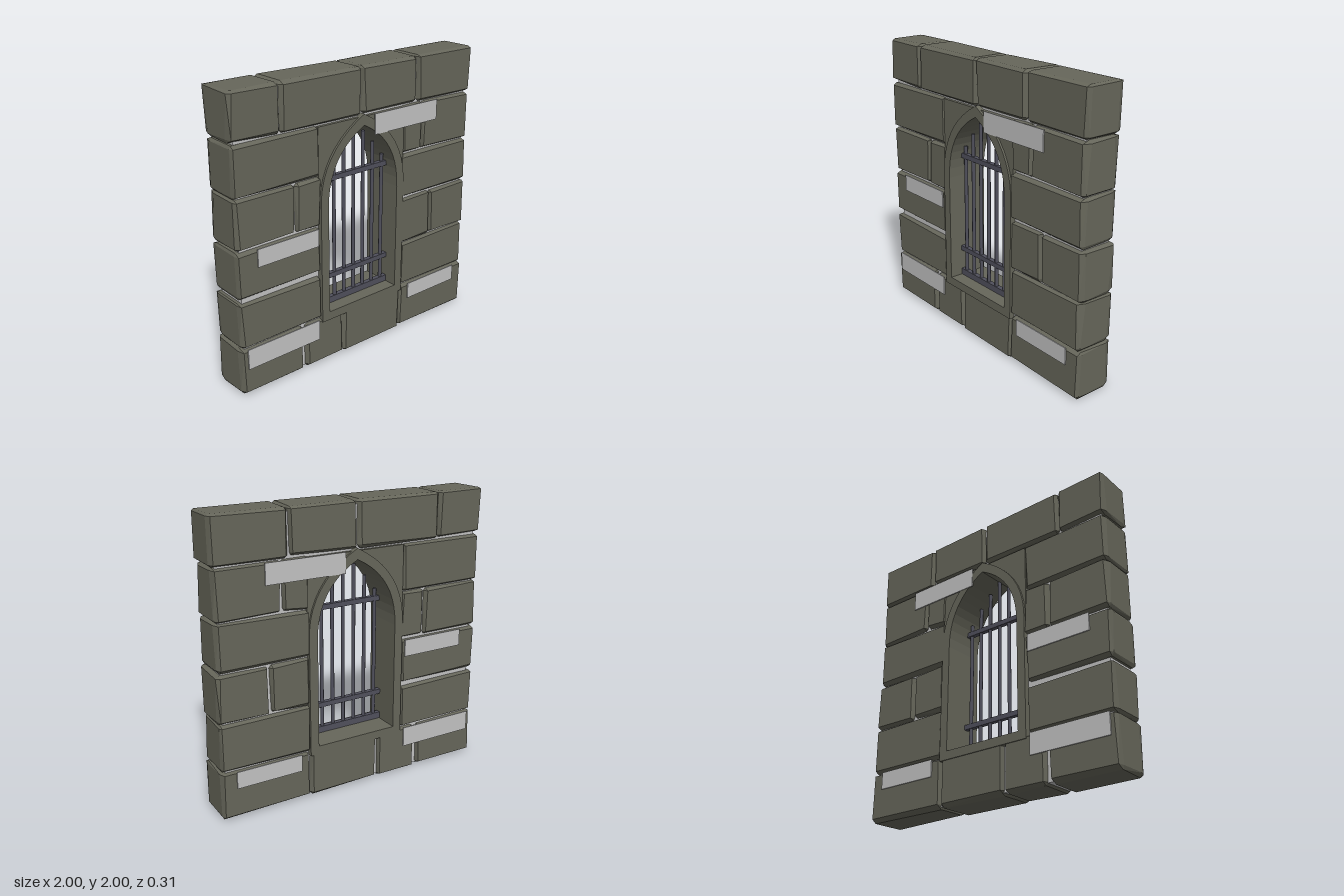
import * as THREE from 'three';
import { ConvexGeometry } from 'three/addons/geometries/ConvexGeometry.js';

// small seeded random for the hewn edges
function makeRandom(seed) {
  return () => {
    seed = (seed * 16807) % 2147483647;
    return seed / 2147483647;
  };
}

// block with unevenly chamfered edges
function hewnBlock(x0, x1, y0, y1, depth, rand) {
  const points = [];
  const cx = (x0 + x1) / 2, cy = (y0 + y1) / 2;
  const hx = (x1 - x0) / 2, hy = (y1 - y0) / 2;
  for (const sx of [-1, 1]) for (const sy of [-1, 1]) for (const sz of [-1, 1]) {
    const ix = 0.008 + 0.018 * rand();
    const iy = (sy < 0 ? 0.014 : 0.006) + 0.014 * rand();
    const iz = 0.02 + 0.035 * rand();
    const add = (dx, dy, dz) => points.push(
      new THREE.Vector3(cx + sx * (hx - dx), cy + sy * (hy - dy), sz * (depth - dz)));
    add(ix, iy, 0);
    add(0, iy, iz);
    add(ix, 0, iz);
  }
  return new ConvexGeometry(points);
}

// pointed arch outline, closed along the bottom
function archPath(path, half, bottom, bulge, shoulder, apex) {
  path.moveTo(-half, bottom);
  path.lineTo(half, bottom);
  path.lineTo(half, 1.13);
  path.quadraticCurveTo(bulge, shoulder, 0, apex);
  path.quadraticCurveTo(-bulge, shoulder, -half, 1.13);
  path.lineTo(-half, bottom);
  return path;
}

function extrudeCentred(shape, halfDepth) {
  const geo = new THREE.ExtrudeGeometry(shape, { depth: halfDepth * 2, bevelEnabled: false, curveSegments: 10 });
  return geo.translate(0, 0, -halfDepth);
}

function rectangle(x0, x1, y0, y1) {
  return new THREE.Shape([[x0, y0], [x1, y0], [x1, y1], [x0, y1]].map(p => new THREE.Vector2(...p)));
}

export function createModel() {
  const model = new THREE.Group();
  model.name = 'barredWindowWall';
  const material = (name, color, flatShading = false) => {
    const m = new THREE.MeshStandardMaterial({ color, flatShading });
    m.name = name;
    return m;
  };
  const stone = material('stone', 0x66665a, true);
  const mortar = material('mortar', 0xc2c2c2);
  const iron = material('iron', 0x50505c);

  const add = (name, geometry, mat, parent = model) => {
    const mesh = new THREE.Mesh(geometry, mat);
    mesh.name = name;
    parent.add(mesh);
    return mesh;
  };
  const group = name => {
    const g = new THREE.Group();
    g.name = name;
    model.add(g);
    return g;
  };

  // courses of stone blocks: x0, x1, y0, y1
  const blocks = [
    [-1, -0.515, 0, 0.335], [-0.49, -0.18, 0, 0.335], [-0.17, 0.36, 0, 0.33], [0.36, 1, 0, 0.335],
    [-0.995, -0.36, 0.34, 0.655], [0.35, 0.995, 0.34, 0.67],
    [-0.995, -0.36, 0.685, 1.003], [0.35, 0.635, 0.675, 1.01], [0.642, 1, 0.67, 1.005],
    [-0.995, -0.552, 1.015, 1.345], [-0.545, -0.35, 1.015, 1.345], [0.34, 0.99, 1.015, 1.335],
    [-0.995, -0.362, 1.35, 1.68], [0.35, 0.535, 1.34, 1.68], [0.54, 0.99, 1.34, 1.68],
    [-1, -0.648, 1.69, 2], [-0.642, -0.012, 1.685, 2], [-0.004, 0.476, 1.69, 2], [0.486, 1, 1.685, 2],
  ];
  const rand = makeRandom(4711);
  const masonry = group('stoneBlocks');
  for (const [x0, x1, y0, y1] of blocks) add('stoneBlock', hewnBlock(x0, x1, y0, y1, 0.143, rand), stone, masonry);

  // stone infill above the arch
  const spandrel = new THREE.Shape();
  spandrel.moveTo(0.365, 1.13);
  spandrel.lineTo(0.365, 1.675);
  spandrel.lineTo(-0.365, 1.675);
  spandrel.lineTo(-0.365, 1.13);
  spandrel.lineTo(-0.345, 1.13);
  spandrel.quadraticCurveTo(-0.345, 1.49, 0, 1.66);
  spandrel.quadraticCurveTo(0.345, 1.49, 0.345, 1.13);
  add('archInfill', extrudeCentred(spandrel, 0.135), stone);

  // mortar core showing through the joints
  const core = rectangle(-0.965, 0.965, 0.015, 1.97);
  core.holes.push(archPath(new THREE.Path(), 0.33, 0.34, 0.33, 1.48, 1.65));
  add('mortarCore', extrudeCentred(core, 0.112), mortar);

  // window surround
  const surround = archPath(new THREE.Shape(), 0.36, 0.31, 0.37, 1.5, 1.695);
  surround.holes.push(archPath(new THREE.Path(), 0.298, 0.37, 0.3, 1.47, 1.62));
  add('windowSurround', extrudeCentred(surround, 0.15), stone);

  // pale patches on both faces
  const patches = group('palePatches');
  const patchRects = [
    [-0.96, -0.39, 0.195, 0.338], [0.43, 0.9, 0.22, 0.338],
    [-0.855, -0.385, 0.885, 1.005], [0.09, 0.655, 1.54, 1.68],
  ];
  for (const [x0, x1, y0, y1] of patchRects) for (const side of [-1, 1]) {
    const patch = add('palePatch', new THREE.BoxGeometry(x1 - x0, y1 - y0, 0.008), mortar, patches);
    patch.position.set((x0 + x1) / 2, (y0 + y1) / 2, side * 0.15);
  }

  // iron grille
  const grille = group('grille');
  const barZ = 0.04;
  for (let i = -3; i <= 3; i++) {
    const x = i * 0.084;
    const top = 1.62 - 0.8 * Math.abs(x) - 1.1 * x * x;
    const bar = add('uprightBar', new THREE.CylinderGeometry(0.013, 0.013, top - 0.38, 10), iron, grille);
    bar.position.set(x, (top + 0.38) / 2, barZ);
  }
  for (const [y, h] of [[0.395, 0.045], [0.58, 0.034], [1.28, 0.034]]) {
    const rail = add('crossBar', new THREE.BoxGeometry(0.594, h, 0.034), iron, grille);
    rail.position.set(0, y, barZ);
  }
  return model;
}
